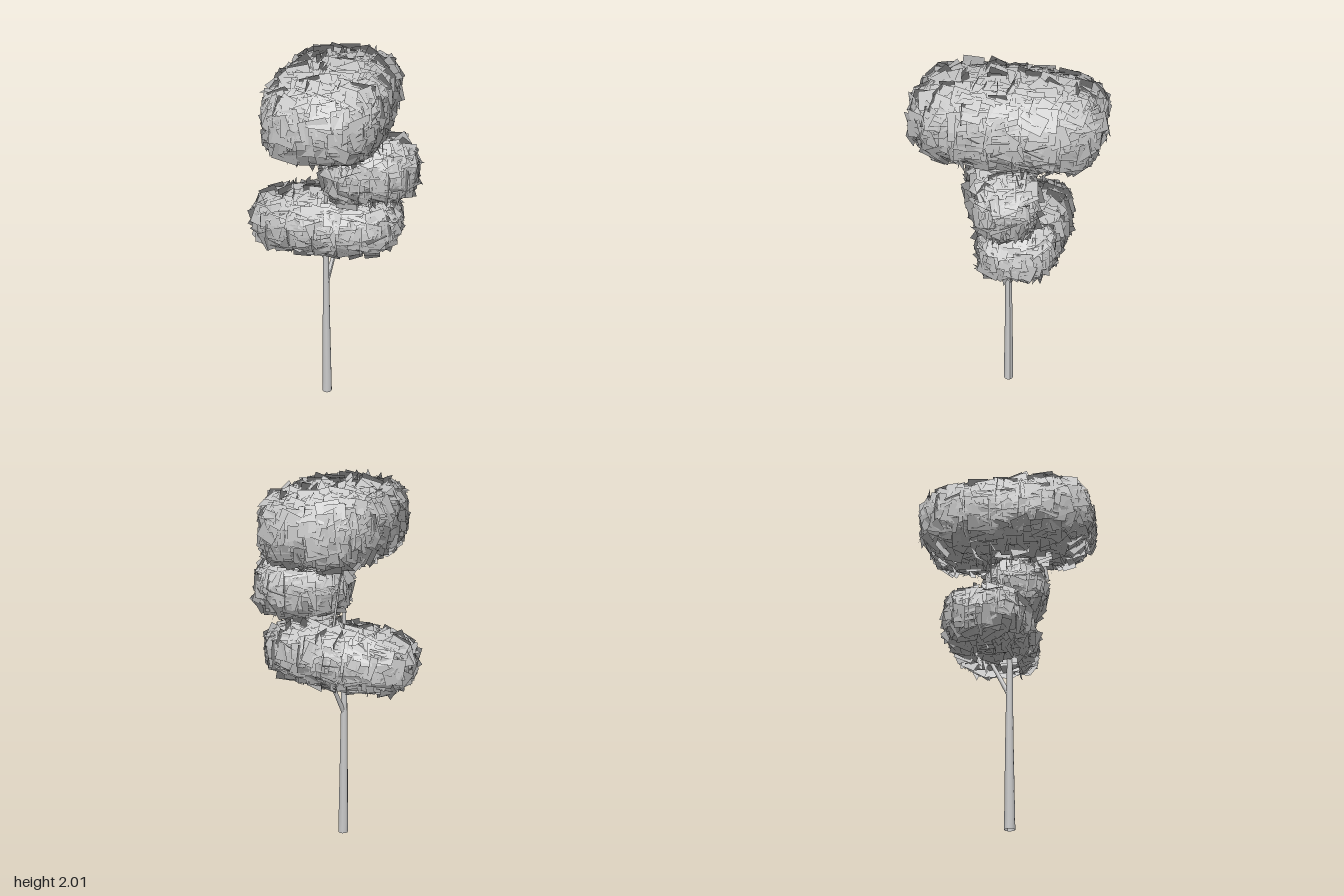
import * as THREE from 'three';
import { mergeGeometries } from 'three/addons/utils/BufferGeometryUtils.js';

const V = (x, y, z) => new THREE.Vector3(x, y, z);

function seeded(seed) {
  return () => {
    seed = (seed * 16807) % 2147483647;
    return seed / 2147483647;
  };
}

// A tapered limb following a smooth path
function limb(name, points, r0, r1, material) {
  const rows = 24, sides = 10;
  const curve = new THREE.CatmullRomCurve3(points);
  const geo = new THREE.TubeGeometry(curve, rows, 1, sides, false);
  const pos = geo.attributes.position;
  for (let i = 0; i < pos.count; i++) {
    const t = Math.floor(i / (sides + 1)) / rows;
    const centre = curve.getPointAt(t);
    const p = V().fromBufferAttribute(pos, i).sub(centre);
    p.multiplyScalar(THREE.MathUtils.lerp(r0, r1, t)).add(centre);
    pos.setXYZ(i, p.x, Math.max(0, p.y), p.z);
  }
  geo.computeVertexNormals();
  const mesh = new THREE.Mesh(geo, material);
  mesh.name = name;
  return mesh;
}

// A rounded block of leaf cards: most lie along its skin, some stand across it
function leafClump({ name, centre, half, turn, tilt, count, seed }, material) {
  const rand = seeded(seed);
  const spread = (s) => (rand() - 0.5) * 2 * s;
  const power = 3.7;
  const cards = [];
  for (let i = 0; i < count; i++) {
    // even directions, pushed out to a boxy superellipsoid
    const y = 1 - (2 * (i + 0.5)) / count, a = i * 2.39996;
    const ring = Math.sqrt(1 - y * y);
    const d = V(ring * Math.cos(a), y, ring * Math.sin(a));
    const sum = Math.abs(d.x) ** power + Math.abs(d.y) ** power + Math.abs(d.z) ** power;
    d.multiplyScalar(sum ** (-1 / power));
    const grad = (v, h) => (Math.sign(v) * Math.abs(v) ** (power - 1)) / h;
    const normal = V(grad(d.x, half[0]), grad(d.y, half[1]), grad(d.z, half[2])).normalize();
    const across = i % 4 === 0;
    const depth = across ? 0.9 : 0.91 + rand() * 0.1;
    const place = V(d.x * half[0], d.y * half[1], d.z * half[2]).multiplyScalar(depth);

    const up = Math.abs(normal.y) > 0.8 ? V(1, 0, 0) : V(0, 1, 0);
    const m = new THREE.Matrix4().lookAt(normal, V(), up);
    const q = new THREE.Quaternion().setFromRotationMatrix(m);
    // cards across the skin stand upright or lie level in turn
    const swing = across ? Math.PI / 2 : 0;
    const level = i % 8 === 0;
    const jitter = new THREE.Euler((level ? swing : 0) + spread(0.35), (level ? 0 : swing) + spread(0.35), spread(0.4));
    q.multiply(new THREE.Quaternion().setFromEuler(jitter));

    const card = new THREE.PlaneGeometry(0.085 + rand() * 0.045, 0.075 + rand() * 0.04);
    card.applyQuaternion(q).translate(place.x, place.y, place.z);
    // soft shading: normals follow the round of the clump rather than each card
    const soft = d.clone().normalize().add(normal).normalize();
    for (let k = 0; k < 4; k++) card.attributes.normal.setXYZ(k, soft.x, soft.y, soft.z);
    cards.push(card);
  }
  const mesh = new THREE.Mesh(mergeGeometries(cards), material);
  mesh.name = name;
  mesh.position.set(...centre);
  mesh.rotation.set(0, turn, tilt);
  return mesh;
}

export function createModel() {
  const tree = new THREE.Group();
  tree.name = 'tree';
  const bark = new THREE.MeshStandardMaterial({ color: 0xcccccc, side: THREE.DoubleSide });
  const leaf = new THREE.MeshStandardMaterial({ color: 0xcccccc, side: THREE.DoubleSide });

  // Trunk and side branches
  tree.add(limb('trunk', [V(-0.033, 0, -0.012), V(-0.035, 0.5, -0.014), V(-0.036, 0.9, -0.012),
    V(-0.035, 1.3, -0.01), V(-0.03, 1.72, 0)], 0.028, 0.004, bark));
  tree.add(limb('backBranch', [V(-0.032, 0.72, -0.014), V(0.015, 0.84, -0.055), V(0.06, 0.96, -0.088),
    V(0.03, 1.25, -0.1), V(-0.02, 1.62, -0.115)], 0.013, 0.003, bark));
  tree.add(limb('middleBranch', [V(-0.035, 1.12, -0.012), V(0.04, 1.26, 0.03), V(0.15, 1.42, 0.08)], 0.01, 0.003, bark));
  tree.add(limb('lowBranch', [V(-0.035, 0.92, -0.012), V(-0.11, 1.0, -0.1), V(-0.2, 1.08, -0.22)], 0.01, 0.003, bark));

  // Foliage clumps
  const clumps = [
    { name: 'topFoliage', centre: [0.005, 1.762, 0], half: [0.472, 0.192, 0.28], turn: 1.03, tilt: 0, count: 1200, seed: 11 },
    { name: 'middleFoliage', centre: [0.172, 1.415, 0.083], half: [0.232, 0.15, 0.143], turn: -0.15, tilt: 0, count: 480, seed: 23 },
    { name: 'lowFoliage', centre: [-0.005, 1.072, -0.098], half: [0.39, 0.138, 0.2], turn: -0.55, tilt: 0.06, count: 780, seed: 37 },
  ];
  for (const c of clumps) tree.add(leafClump(c, leaf));
  return tree;
}
